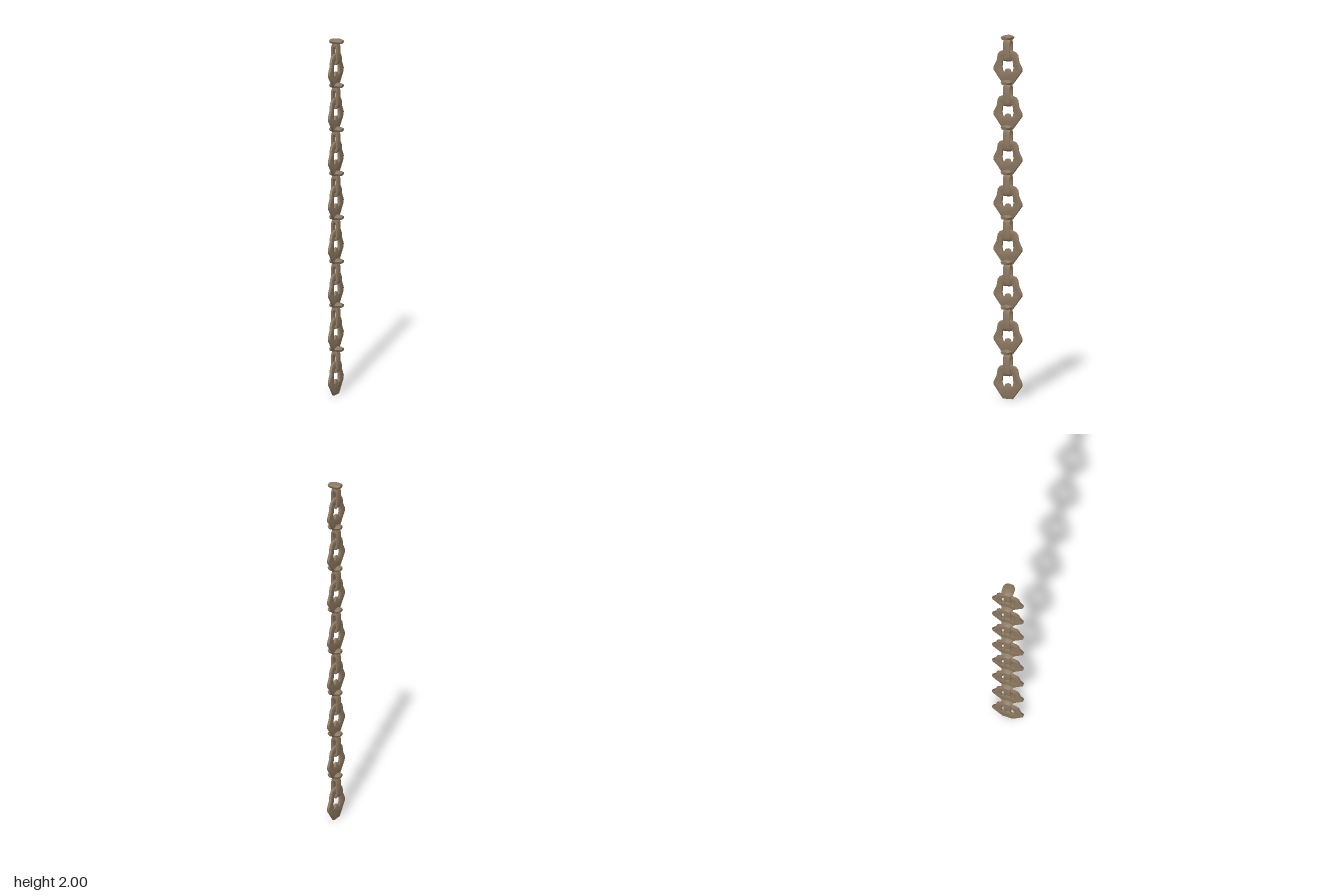
import * as THREE from 'three';
import { toCreasedNormals } from 'three/addons/utils/BufferGeometryUtils.js';

const PITCH = 0.247, COUNT = 8, OFFSET = -0.005;

// Closed outline from one half, mirrored across the vertical axis
function mirrored(half, PathType) {
  const other = half.filter(([x]) => x > 0).map(([x, y]) => [-x, y]).reverse();
  return new PathType([...half, ...other].map(([x, y]) => new THREE.Vector2(x, y)));
}

function extrude(shape, depth, bevel) {
  const geo = new THREE.ExtrudeGeometry(shape, {
    depth: depth - 2 * bevel, bevelEnabled: true, bevelThickness: bevel,
    bevelSize: bevel, bevelOffset: -bevel, bevelSegments: 2, curveSegments: 8,
  });
  geo.translate(0, 0, -(depth - 2 * bevel) / 2);
  return toCreasedNormals(geo, 0.7);
}

// Flat pointed ring standing in the side plane, with a tongue in its hole
function plateGeometry() {
  const shape = mirrored([[0.03, 0], [0.048, 0.022], [0.088, 0.072], [0.09, 0.09],
    [0.07, 0.125], [0.063, 0.162], [0.05, 0.178], [0.025, 0.186]], THREE.Shape);
  shape.holes.push(mirrored([[0, 0.086], [0.014, 0.082], [0.021, 0.066], [0.032, 0.07],
    [0.037, 0.09], [0.034, 0.12], [0.025, 0.145], [0.015, 0.15]], THREE.Path));
  return extrude(shape, 0.014, 0.003).rotateY(Math.PI / 2);
}

// Narrow loop passing through the plate's hole and around its top bar
function loopGeometry() {
  const shape = mirrored([[0.01, 0.126], [0.018, 0.134], [0.02, 0.15],
    [0.02, 0.225], [0.016, 0.238], [0.01, 0.252]], THREE.Shape);
  shape.holes.push(mirrored([[0.005, 0.146], [0.009, 0.152],
    [0.009, 0.215], [0.005, 0.225]], THREE.Path));
  return extrude(shape, 0.044, 0.005);
}

// Domed cap with cut corners, narrower below
function capGeometry() {
  const geo = new THREE.BoxGeometry(0.074, 0.024, 0.067, 8, 2, 6);
  const p = geo.attributes.position;
  for (let i = 0; i < p.count; i++) {
    const x = p.getX(i), y = p.getY(i), z = p.getZ(i);
    const u = Math.abs(x) / 0.037, v = Math.abs(z) / 0.0335;
    const corner = 1 - 0.45 * Math.max(0, (u - 0.6) / 0.4);
    if (y > 0.001) p.setY(i, y - 0.006 * u * u - 0.009 * v * v);
    if (y < -0.001) p.setX(i, x * 0.94);
    const side = y > 0.001 ? 0.92 : y < -0.001 ? 0.75 : 1;
    p.setZ(i, z * corner * side);
  }
  geo.computeVertexNormals();
  return geo.translate(0, 0.259, 0);
}

export function createModel() {
  const bronze = new THREE.MeshStandardMaterial({ color: 0x8c7860 });
  bronze.name = 'agedBronze';
  const parts = [
    ['plate', plateGeometry(), OFFSET],
    ['loop', loopGeometry(), OFFSET],
    ['cap', capGeometry(), 0],
  ];

  const chain = new THREE.Group();
  chain.name = 'chain';
  // Identical links stacked upward
  for (let i = 0; i < COUNT; i++) {
    const link = new THREE.Group();
    link.name = `link${i + 1}`;
    link.position.y = i * PITCH;
    for (const [name, geo, x] of parts) {
      const mesh = new THREE.Mesh(geo, bronze);
      mesh.name = name;
      mesh.position.x = x;
      link.add(mesh);
    }
    chain.add(link);
  }
  return chain;
}
